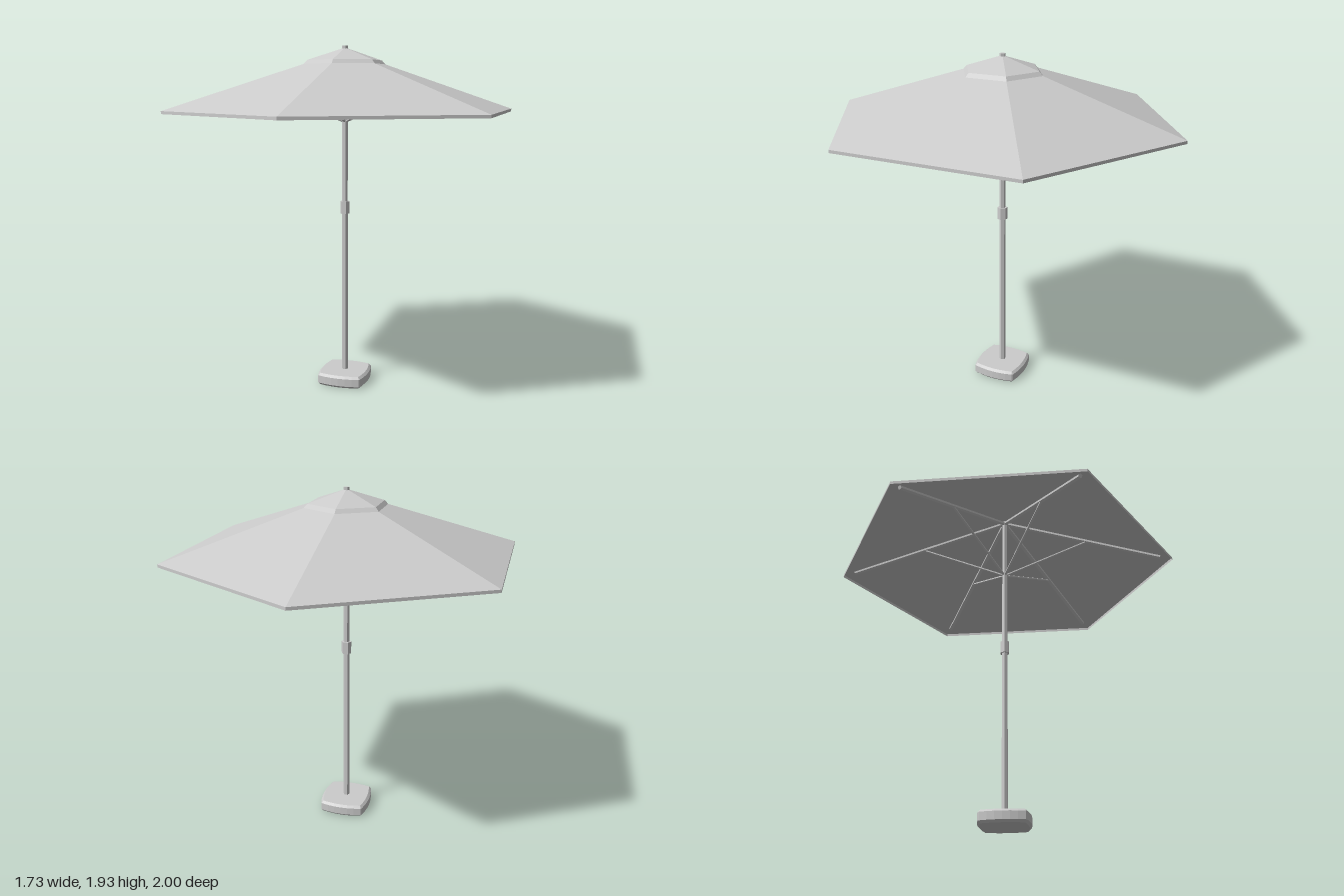
import * as THREE from 'three';

const SIDES = 6;
const metal = new THREE.MeshStandardMaterial({ color: 0xcccccc, flatShading: true });
const fabric = new THREE.MeshStandardMaterial({ color: 0xcccccc, flatShading: true, side: THREE.DoubleSide });

// Height of the canopy along its corner seams at distance r from the pole
const seamHeight = (r) => 1.585 + 0.325 * (1 - r);

function add(parent, name, geometry, material = metal) {
  const mesh = new THREE.Mesh(geometry, material);
  mesh.name = name;
  parent.add(mesh);
  return mesh;
}

// Upright hexagonal tube with corners on the x axis
function post(parent, name, radius, y0, y1) {
  const geometry = new THREE.CylinderGeometry(radius, radius, y1 - y0, 6);
  geometry.rotateY(Math.PI / 6);
  add(parent, name, geometry).position.y = (y0 + y1) / 2;
}

// Straight rod between two points
function rod(parent, name, radius, a, b) {
  const dir = b.clone().sub(a);
  const mesh = add(parent, name, new THREE.CylinderGeometry(radius, radius, dir.length(), 6));
  mesh.position.copy(a).add(b).multiplyScalar(0.5);
  mesh.quaternion.setFromUnitVectors(new THREE.Vector3(0, 1, 0), dir.normalize());
}

// Six-sided fabric surface from a radius/height profile
function hexSkin(parent, name, profile) {
  const points = profile.map(([r, y]) => new THREE.Vector2(r, y));
  add(parent, name, new THREE.LatheGeometry(points, SIDES), fabric);
}

// Weighted foot: bulging square with clipped corners and bevelled edges
function baseGeometry() {
  const a = 0.12, b = 0.126, bulge = 0.16, bevel = 0.013, height = 0.07;
  const shape = new THREE.Shape();
  shape.moveTo(-a, -b);
  shape.quadraticCurveTo(0, -bulge, a, -b);
  shape.lineTo(b, -a);
  shape.quadraticCurveTo(bulge, 0, b, a);
  shape.lineTo(a, b);
  shape.quadraticCurveTo(0, bulge, -a, b);
  shape.lineTo(-b, a);
  shape.quadraticCurveTo(-bulge, 0, -b, -a);
  shape.closePath();
  const geometry = new THREE.ExtrudeGeometry(shape, {
    depth: height - 2 * bevel, curveSegments: 6,
    bevelSegments: 1, bevelSize: bevel, bevelThickness: bevel, bevelOffset: -bevel,
  });
  geometry.rotateX(-Math.PI / 2);
  geometry.translate(0, bevel, 0);
  return geometry;
}

export function createModel() {
  const model = new THREE.Group();
  model.name = 'parasol';

  // Foot and two-part pole joined by a collar
  add(model, 'base', baseGeometry());
  post(model, 'lowerPole', 0.018, 0.06, 1.03);
  post(model, 'poleCollar', 0.028, 1.0, 1.07);
  post(model, 'upperPole', 0.0165, 1.03, 1.935);

  // Main canopy with a short hanging hem, and the raised vent cap on top
  hexSkin(model, 'canopy', [[1, 1.569], [1, 1.585], [0.012, seamHeight(0.012)]]);
  hexSkin(model, 'ventCap', [[0.232, 1.835], [0.212, 1.856], [0.012, 1.921]]);

  // A rib under every seam, each held by a strut from the pole
  const frame = new THREE.Group();
  frame.name = 'frame';
  model.add(frame);
  for (let i = 0; i < SIDES; i++) {
    const angle = (i * Math.PI * 2) / SIDES;
    const at = (r, y) => new THREE.Vector3(Math.sin(angle) * r, y, Math.cos(angle) * r);
    rod(frame, 'rib', 0.012, at(0.01, seamHeight(0.01) - 0.016), at(0.93, seamHeight(0.93) - 0.016));
    rod(frame, 'strut', 0.007, at(0.008, 1.522), at(0.5, seamHeight(0.5) - 0.018));
  }
  return model;
}
